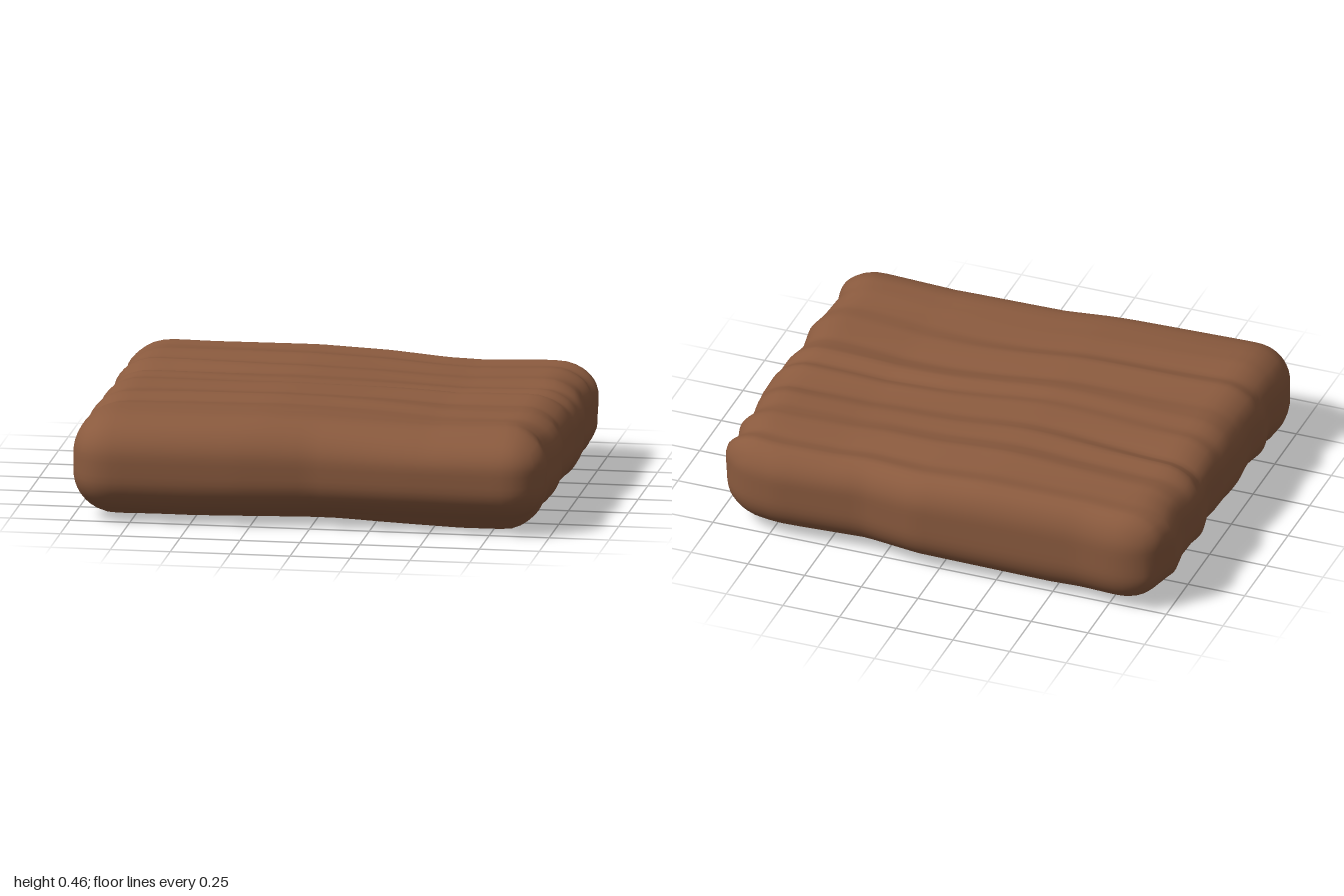
import * as THREE from 'three';
import { mergeVertices } from 'three/addons/utils/BufferGeometryUtils.js';

// Linear lookup in a short list of [position, value] pairs
function along(points, t) {
  if (t <= points[0][0]) return points[0][1];
  for (let i = 1; i < points.length; i++) {
    const [a, va] = points[i - 1], [b, vb] = points[i];
    if (t <= b) return va + (vb - va) * (t - a) / (b - a);
  }
  return points[points.length - 1][1];
}

// Heights of the long ridges and grooves, across the depth
const TOP = [[-0.82, 0.42], [-0.72, 0.443], [-0.64, 0.43], [-0.5, 0.457], [-0.4, 0.435], [-0.31, 0.452],
  [-0.23, 0.418], [-0.1, 0.455], [-0.04, 0.437], [0.03, 0.462], [0.14, 0.437], [0.3, 0.462],
  [0.38, 0.44], [0.5, 0.46], [0.6, 0.46], [0.72, 0.44], [0.82, 0.43]];
const BOTTOM = [[-0.82, 0.06], [-0.7, 0.04], [-0.6, 0.05], [-0.5, 0.025], [-0.36, 0.055], [-0.24, 0.035],
  [-0.17, 0.055], [-0.09, 0.035], [0, 0.058], [0.07, 0.04], [0.2, 0.06], [0.42, 0.025],
  [0.5, 0.04], [0.56, 0.005], [0.63, 0.01], [0.7, 0.045], [0.82, 0.06]];
const TOP_TILT = [[-1, 0.008], [-0.2, 0.012], [0.5, -0.02], [0.85, -0.012], [1, -0.02]];
const BOTTOM_TILT = [[-1, 0.01], [-0.5, 0], [0.1, 0.012], [0.65, 0.008], [1, 0.015]];
// Outlines of the four sides
const FRONT = [[-0.8, 0.825], [-0.3, 0.805], [0, 0.78], [0.4, 0.8], [0.8, 0.81]];
const BACK = [[-0.8, 0.815], [-0.65, 0.8], [0.1, 0.815], [0.35, 0.775], [0.75, 0.8], [0.95, 0.77]];
const LEFT = [[-0.75, 0.96], [-0.64, 0.985], [-0.58, 0.96], [-0.49, 0.985], [-0.4, 0.965], [-0.2, 0.995],
  [0, 0.985], [0.2, 0.965], [0.33, 0.988], [0.58, 0.957], [0.69, 0.985]];
const RIGHT = [[-0.75, 0.96], [-0.62, 0.995], [-0.5, 0.975], [-0.32, 0.995], [-0.2, 0.97], [-0.05, 0.985],
  [0.1, 0.995], [0.25, 0.985], [0.38, 1], [0.46, 0.98], [0.6, 1]];

// Rounds a unit box coordinate triple with one radius fraction per axis
function roundCorner(v, radii) {
  const p = [v.x, v.y, v.z];
  const inner = p.map((c, i) => THREE.MathUtils.clamp(c, radii[i] - 1, 1 - radii[i]));
  const d = p.map((c, i) => (c - inner[i]) / radii[i]);
  const length = Math.hypot(...d) || 1;
  // Spread the grid evenly around the rounding
  const reach = Math.max(...d.map(Math.abs));
  return new THREE.Vector3(...inner.map((c, i) => c + d[i] / length * reach * radii[i]));
}

function slabGeometry() {
  let geometry = new THREE.BoxGeometry(2, 2, 2, 44, 14, 80);
  geometry.deleteAttribute('uv');
  geometry.deleteAttribute('normal');
  geometry = mergeVertices(geometry, 1e-5);
  const pos = geometry.attributes.position;
  const v = new THREE.Vector3();
  for (let i = 0; i < pos.count; i++) {
    v.fromBufferAttribute(pos, i);
    // The front edge is rounder than the back edge
    const s = THREE.MathUtils.smoothstep(v.z, -0.6, 0.6);
    const r = roundCorner(v, [0.17, 0.7 + 0.1 * s, 0.13 + 0.09 * s]);
    const x0 = r.x, z0 = r.z * 0.81;
    // Ridges wander slightly along the width
    const wander = z0 + (0.022 * Math.sin(3.1 * x0 + 4 * z0) + 0.01 * Math.sin(7 * x0)) * (1 - r.z * r.z);
    const fade = 0.8 + 0.35 * Math.sin(2.3 * x0 + 9 * z0);
    const top = 0.445 + (along(TOP, wander) - 0.445) * fade + along(TOP_TILT, x0);
    const bottom = 0.04 + (along(BOTTOM, wander) - 0.04) * fade + along(BOTTOM_TILT, x0);
    const middle = 0.25;
    const y = r.y > 0 ? middle + r.y * (top - middle) : middle + r.y * (middle - bottom);
    const x = r.x * along(r.x > 0 ? LEFT : RIGHT, z0 + 0.05 * r.y);
    const z = r.z * along(r.z > 0 ? FRONT : BACK, x0);
    pos.setXYZ(i, x, Math.max(0, y), z);
  }
  geometry.computeVertexNormals();
  return geometry;
}

export function createModel() {
  const model = new THREE.Group();
  model.name = 'ridgedSlab';
  const brown = new THREE.MeshStandardMaterial({ color: 0x8a5a3e });
  brown.name = 'warm brown';
  const slab = new THREE.Mesh(slabGeometry(), brown);
  slab.name = 'slab';
  model.add(slab);
  return model;
}
